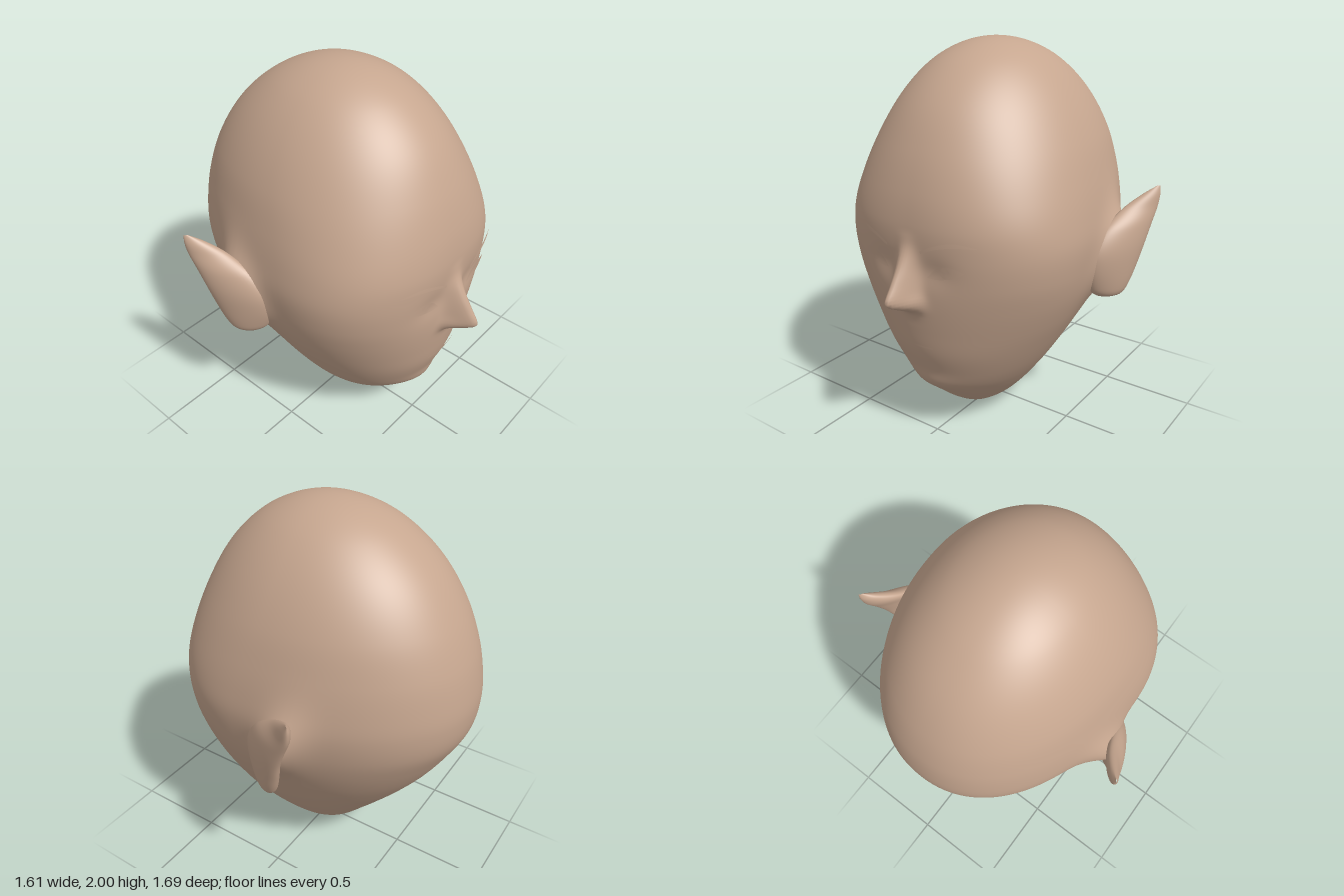
import * as THREE from 'three';

const skin = new THREE.MeshStandardMaterial({ color: 0xc6a68f });
skin.name = 'skin';

// Smooth interpolation of column k in a table keyed by its first column
function sample(table, t, k) {
  const n = table.length - 1;
  if (t <= table[0][0]) return table[0][k];
  if (t >= table[n][0]) return table[n][k];
  let i = 0;
  while (t > table[i + 1][0]) i++;
  const slope = (j) => {
    const a = table[Math.max(j - 1, 0)], b = table[Math.min(j + 1, n)];
    return (b[k] - a[k]) / (b[0] - a[0]);
  };
  const a = table[i], b = table[i + 1], d = b[0] - a[0], s = (t - a[0]) / d;
  const s2 = s * s, s3 = s2 * s;
  return (2 * s3 - 3 * s2 + 1) * a[k] + (s3 - 2 * s2 + s) * d * slope(i)
    + (3 * s2 - 2 * s3) * b[k] + (s3 - s2) * d * slope(i + 1);
}

// Closed rings stacked upward; point(v, u) gives [x, y, z], u wraps around
function loft(rows, cols, point) {
  const pos = [], idx = [];
  for (let i = 0; i <= rows; i++)
    for (let j = 0; j < cols; j++) pos.push(...point(i / rows, j / cols));
  for (let i = 0; i < rows; i++)
    for (let j = 0; j < cols; j++) {
      const a = i * cols + j, b = i * cols + (j + 1) % cols;
      idx.push(a, b, b + cols, a, b + cols, a + cols);
    }
  const g = new THREE.BufferGeometry();
  g.setAttribute('position', new THREE.Float32BufferAttribute(pos, 3));
  g.setIndex(idx);
  g.computeVertexNormals();
  return g;
}

// Skull sections: height, half width, front z, back z, z of widest point, squareness of the face
const polar = (y) => Math.acos(Math.min(1, Math.max(-1, 1 - y)));
const skull = [
  [0, 0, 0.02, 0.02, 0.02, 2],
  [0.03, 0.085, 0.19, -0.10, 0.04, 2],
  [0.09, 0.165, 0.295, -0.19, 0.05, 2],
  [0.16, 0.23, 0.385, -0.26, 0.06, 2],
  [0.25, 0.3, 0.48, -0.34, 0.08, 2],
  [0.31, 0.343, 0.53, -0.395, 0.09, 2],
  [0.39, 0.395, 0.575, -0.465, 0.1, 2],
  [0.52, 0.47, 0.628, -0.575, 0.1, 2.02],
  [0.66, 0.542, 0.657, -0.68, 0.1, 2.06],
  [0.8, 0.598, 0.675, -0.765, 0.1, 2.15],
  [0.93, 0.63, 0.68, -0.828, 0.1, 2.3],
  [1.07, 0.645, 0.685, -0.847, 0.09, 2.38],
  [1.2, 0.632, 0.685, -0.835, 0.07, 2.38],
  [1.35, 0.6, 0.66, -0.8, 0.04, 2.25],
  [1.53, 0.542, 0.6, -0.725, 0.0, 2.1],
  [1.72, 0.442, 0.495, -0.598, -0.02, 2],
  [1.88, 0.305, 0.333, -0.415, -0.03, 2],
  [1.96, 0.18, 0.183, -0.255, -0.03, 2],
  [2, 0, -0.03, -0.03, -0.03, 2],
].map(([y, ...rest]) => [polar(y), ...rest]);
const section = (y) => [1, 2, 3, 4, 5].map((k) => sample(skull, polar(y), k));

// Nose: height, projection, breadth
const nose = [
  [0.72, 0, 0.065], [0.765, 0.016, 0.065], [0.8, 0.08, 0.06], [0.83, 0.135, 0.056],
  [0.86, 0.162, 0.052], [0.93, 0.12, 0.05], [1.02, 0.06, 0.048], [1.1, 0.015, 0.045], [1.17, 0, 0.045],
];
const bell = (x, y, cx, cy, w, h) => Math.exp(-(((x - cx) / w) ** 2) - ((y - cy) / h) ** 2);

// Relief of the face: nose, nostrils, eye sockets and chin
function relief(x, y) {
  const ax = Math.abs(x);
  return sample(nose, y, 1) * Math.exp(-((x / sample(nose, y, 2)) ** 2))
    + 0.016 * bell(ax, y, 0.055, 0.83, 0.03, 0.035)
    - 0.012 * bell(ax, y, 0.15, 0.99, 0.1, 0.07)
    + 0.022 * bell(x, y, 0, 0.315, 0.14, 0.065);
}

function faceZ(x, y) {
  const [w, f, , c, n] = section(y);
  return c + (f - c) * (1 - Math.min(1, Math.abs(x) / w) ** n) ** (1 / n) + relief(x, y);
}

// Swelling of the skull where each ear grows out
const earSwell = (y, z) => 0.11 * bell(z + 0.25 * (y - 0.97), y, -0.14, 0.97, 0.115, 0.185);

function headPoint(v, u) {
  const y = 1 - Math.cos(Math.PI * v), [w, f, b, c, n] = section(y);
  const s = 2 * u - 1;
  const a = Math.PI * s - 0.6 * Math.sin(Math.PI * s); // denser over the face
  const sn = Math.sin(a), cs = Math.cos(a), p = 2 / (cs > 0 ? n : 2.1);
  const x = w * Math.sign(sn) * Math.abs(sn) ** p;
  const r = Math.abs(cs) ** p;
  const z = cs > 0 ? c + (f - c) * r + relief(x, y) : c + (b - c) * r;
  const side = Math.min(1, Math.max(-1, x / 0.4));
  return [x + side * earSwell(y, z), y, z];
}

// Ear sections: height, front x, front z, rear x, rear z, half thickness
const ear = [
  [0.73, 0.66, -0.09, 0.68, -0.11, 0.002],
  [0.745, 0.62, -0.04, 0.705, -0.15, 0.035],
  [0.79, 0.6, 0.0, 0.725, -0.18, 0.05],
  [0.9, 0.61, 0.03, 0.75, -0.22, 0.052],
  [1.0, 0.625, 0.02, 0.77, -0.25, 0.048],
  [1.1, 0.645, -0.05, 0.785, -0.29, 0.043],
  [1.18, 0.68, -0.17, 0.797, -0.325, 0.034],
  [1.24, 0.735, -0.26, 0.803, -0.335, 0.022],
  [1.285, 0.79, -0.32, 0.803, -0.333, 0.002],
];

function earGeometry(side) {
  return loft(48, 40, (v, u) => {
    const y = 0.73 + 0.555 * (1 - Math.cos(Math.PI * v)) / 2;
    const [fx, fz, bx, bz, t] = [1, 2, 3, 4, 5].map((k) => sample(ear, y, k));
    const hx = (bx - fx) / 2, hz = (bz - fz) / 2, len = Math.hypot(hx, hz);
    const a = side * u * Math.PI * 2, cs = Math.cos(a), sn = Math.sin(a) * t / len;
    return [side * ((fx + bx) / 2 + hx * cs + hz * sn), y, (fz + bz) / 2 + hz * cs - hx * sn];
  });
}

// Lay a flat geometry on the face, just proud of the skin
function drape(g, lift) {
  const p = g.attributes.position;
  for (let i = 0; i < p.count; i++) p.setZ(i, faceZ(p.getX(i), p.getY(i)) + lift);
  g.computeVertexNormals();
  return g;
}

// Thin strip between x0 and x1 with lower and upper edges given by functions of |x|
function strip(x0, x1, low, high, lift) {
  const g = new THREE.PlaneGeometry(1, 1, 28, 4), p = g.attributes.position;
  for (let i = 0; i < p.count; i++) {
    const x = x0 + (x1 - x0) * (p.getX(i) + 0.5), v = p.getY(i) + 0.5, ax = Math.abs(x);
    p.setXY(i, x, low(ax) + (high(ax) - low(ax)) * v);
  }
  return drape(g, lift);
}

export function createModel() {
  const model = new THREE.Group();
  model.name = 'head';
  const add = (name, geometry) => {
    const m = new THREE.Mesh(geometry, skin);
    m.name = name;
    model.add(m);
  };

  add('skullAndFace', loft(180, 216, headPoint));

  // Eyelid and brow edges: |x|, lower y, upper y
  const lids = [[0.12, 0.968, 0.97], [0.16, 0.966, 1.015], [0.21, 0.975, 1.04], [0.26, 0.99, 1.04], [0.31, 1.02, 1.022]];
  const brow = [[0.1, 1.088, 1.102], [0.18, 1.122, 1.14], [0.27, 1.142, 1.163], [0.37, 1.146, 1.15]];
  const edge = (table, k) => (x) => sample(table, x, k);

  for (const side of [1, -1]) {
    const label = side > 0 ? 'left' : 'right';
    const span = (a, b) => (side > 0 ? [a, b] : [-b, -a]);
    const disc = (r) => new THREE.CircleGeometry(r, 20).translate(side * 0.215, 1.01, 0);
    add(label + 'Ear', earGeometry(side));
    add(label + 'Eye', strip(...span(0.12, 0.31), edge(lids, 1), edge(lids, 2), 0.014));
    add(label + 'Iris', drape(disc(0.028), 0.017));
    add(label + 'Pupil', drape(disc(0.009), 0.02));
    add(label + 'Eyebrow', strip(...span(0.1, 0.37), edge(brow, 1), edge(brow, 2), 0.022));
  }

  add('mouth', strip(-0.108, 0.108, () => 0.573, () => 0.583, 0.012));
  return model;
}
